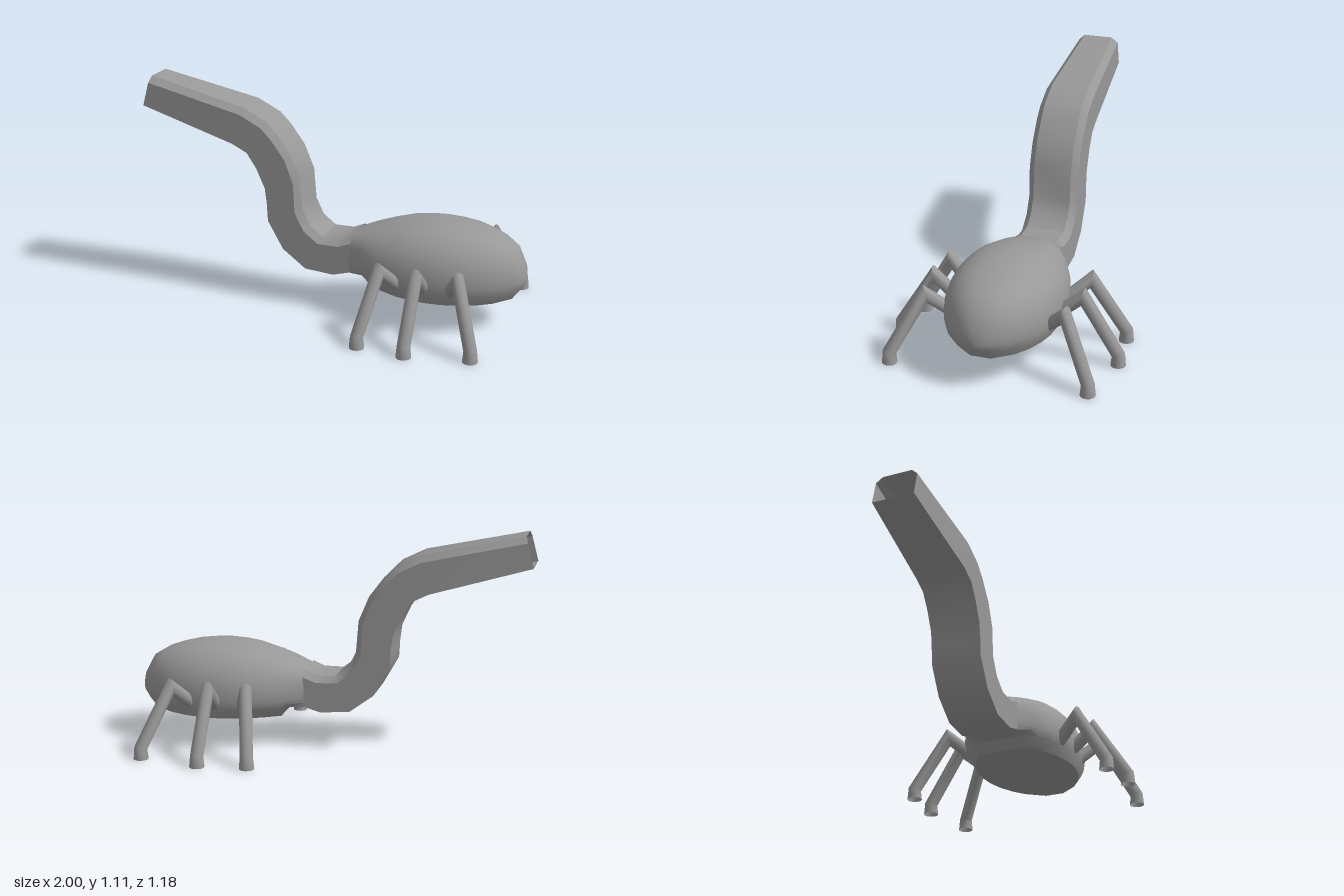
import * as THREE from 'three';
import { toCreasedNormals } from 'three/addons/utils/BufferGeometryUtils.js';

const grey = new THREE.MeshStandardMaterial({ color: 0x989898, side: THREE.DoubleSide });

// Skin over closed rings that follow one another along a path
function loft(name, rings, crease) {
  const n = rings[0].length, index = [];
  for (let i = 0; i < rings.length - 1; i++) {
    for (let j = 0; j < n; j++) {
      const a = i * n + j, b = i * n + (j + 1) % n, c = a + n, d = b + n;
      index.push(a, b, c, b, d, c);
    }
  }
  const geometry = new THREE.BufferGeometry();
  geometry.setAttribute('position', new THREE.Float32BufferAttribute(rings.flat(2), 3));
  geometry.setIndex(index);
  const mesh = new THREE.Mesh(toCreasedNormals(geometry, crease), grey);
  mesh.name = name;
  return mesh;
}

// Neck: open chamfered box section; upper x, y, lower x, y, half width
function createNeck() {
  const stations = [
    [-0.96, 1.112, -1.0, 0.96, 0.108],
    [-0.45, 1.0, -0.5, 0.815, 0.13],
    [-0.33, 0.94, -0.42, 0.775, 0.13],
    [-0.275, 0.885, -0.37, 0.7, 0.13],
    [-0.2, 0.785, -0.325, 0.6, 0.13],
    [-0.148, 0.66, -0.315, 0.52, 0.13],
    [-0.135, 0.5, -0.31, 0.43, 0.13],
    [-0.095, 0.42, -0.23, 0.29, 0.13],
    [-0.03, 0.37, -0.11, 0.2, 0.13],
    [0.07, 0.37, 0.04, 0.187, 0.13],
    [0.13, 0.395, 0.13, 0.212, 0.13],
  ];
  const rings = stations.map(([ux, uy, lx, ly, w]) => {
    const t = 0.032 / Math.hypot(lx - ux, ly - uy);
    const sx = ux + (lx - ux) * t, sy = uy + (ly - uy) * t, top = w - 0.032;
    return [
      [ux, uy, -top], [ux, uy, top], [sx, sy, w],
      [lx, ly, w], [lx, ly, -w], [sx, sy, -w],
    ];
  });
  return loft('neck', rings, 0.6);
}

// Body: flat-bottomed dome; x, top y, bottom y, half width, half width of the flat base
function createBody() {
  const stations = [
    [0.125, 0.398, 0.21, 0.134, 0.128],
    [0.2, 0.43, 0.205, 0.182, 0.13],
    [0.24, 0.445, 0.157, 0.207, 0.132],
    [0.3, 0.468, 0.157, 0.237, 0.17],
    [0.4, 0.495, 0.157, 0.268, 0.22],
    [0.48, 0.506, 0.157, 0.279, 0.242],
    [0.56, 0.51, 0.157, 0.282, 0.25],
    [0.64, 0.506, 0.157, 0.277, 0.245],
    [0.72, 0.497, 0.157, 0.262, 0.225],
    [0.8, 0.477, 0.157, 0.232, 0.19],
    [0.87, 0.453, 0.157, 0.193, 0.14],
    [0.94, 0.41, 0.157, 0.135, 0.05],
    [0.985, 0.33, 0.212, 0.07, 0.03],
    [0.998, 0.275, 0.23, 0.025, 0.012],
    [1.0, 0.245, 0.245, 0, 0],
  ];
  const steps = 20;
  const rings = stations.map(([x, top, bottom, w, base]) => {
    // Squarer section where the body meets the neck
    const power = 2 / (2.3 + 6 * Math.max(0, 0.3 - x));
    const mid = Math.min(0.25, (top + bottom) / 2);
    const ring = [];
    for (let i = 0; i <= steps; i++) {
      const a = Math.PI * (i / steps - 0.5);
      const c = Math.max(0, Math.cos(a));
      ring.push([x, mid + (top - mid) * c ** power, w * Math.sign(a) * Math.abs(Math.sin(a)) ** power]);
    }
    const bulge = w * 0.8 + base * 0.2, low = mid * 0.55 + bottom * 0.45;
    ring.push([x, low, bulge], [x, bottom, base], [x, bottom, -base], [x, low, -bulge]);
    return ring;
  });
  return loft('body', rings, 0.6);
}

// Leg: mitred tube from the hip over the knee and ankle to a flared open foot
function createLeg(name, side, hip, knee, foot) {
  const [h, k, f] = [hip, knee, foot].map(([x, y, z]) => new THREE.Vector3(x, y, z * side));
  const path = [h, k, f.clone().setY(0.055), f];
  const dirs = path.slice(1).map((p, i) => p.clone().sub(path[i]).normalize());
  const u = new THREE.Vector3(1, 0, 0).cross(dirs[0]).normalize();
  const v = dirs[0].clone().cross(u);
  const sides = 14, radius = 0.032;
  let ring = Array.from({ length: sides }, (_, i) => {
    const a = (i / sides) * Math.PI * 2;
    return h.clone().addScaledVector(u, radius * Math.cos(a)).addScaledVector(v, radius * Math.sin(a));
  });
  const rings = [ring];
  dirs.forEach((dir, i) => {
    const joint = path[i + 1];
    const plane = dir.clone().add(dirs[i + 1] ?? dir);
    ring = ring.map((p) => p.clone().addScaledVector(dir, joint.clone().sub(p).dot(plane) / dir.dot(plane)));
    rings.push(ring);
  });
  ring.forEach((p) => p.sub(f).multiplyScalar(1.17).add(f));
  return loft(name, rings.map((r) => r.map((p) => p.toArray())), 0.7);
}

export function createModel() {
  const model = new THREE.Group();
  model.name = 'longNeckedCrawler';
  model.add(createNeck(), createBody());

  // Three pairs of legs
  const legs = [
    ['neckEndLeg', [0.41, 0.23, 0.24], [0.36, 0.335, 0.36], [0.31, 0, 0.527]],
    ['middleLeg', [0.55, 0.23, 0.25], [0.55, 0.335, 0.375], [0.553, 0, 0.552]],
    ['tailEndLeg', [0.68, 0.23, 0.24], [0.75, 0.335, 0.347], [0.86, 0, 0.492]],
  ];
  for (const [name, hip, knee, foot] of legs) {
    model.add(createLeg(name + 'Front', 1, hip, knee, foot));
    model.add(createLeg(name + 'Back', -1, hip, knee, foot));
  }
  return model;
}
